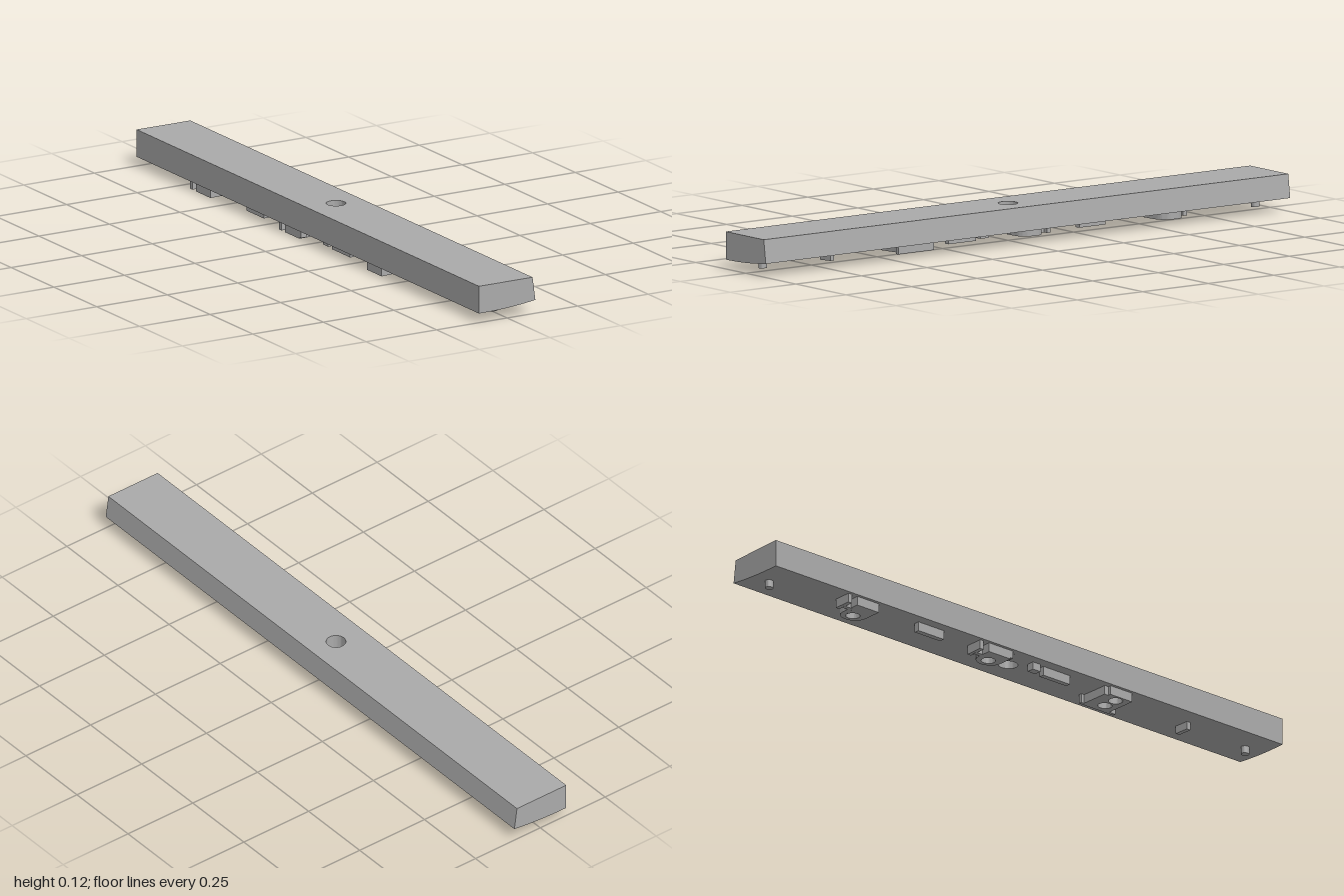
import * as THREE from 'three';
import { toCreasedNormals } from 'three/addons/utils/BufferGeometryUtils.js';

const TOP = 0.115, HOLE = 0.03, MID = 0.04, DROP = 0.029;
// gently bowed, tilted underside
const underside = (x) => 0.032 + 0.065 * x + 0.35 * x * x;
const bowXs = Array.from({ length: 11 }, (_, i) => -0.1 + i * 0.02);

export function createModel() {
  const group = new THREE.Group();
  const grey = new THREE.MeshStandardMaterial({ color: 0xaaaaaa });
  grey.name = 'grey';

  const add = (name, geometry) => {
    const mesh = new THREE.Mesh(toCreasedNormals(geometry, 0.5), grey);
    mesh.name = name;
    group.add(mesh);
  };

  // extrude a plan shape (x, z) downwards, then set its heights by a rule
  const extrudePlan = (shape, move) => {
    const g = new THREE.ExtrudeGeometry(shape, { depth: 1, bevelEnabled: false, curveSegments: 20 });
    g.rotateX(Math.PI / 2);
    const p = g.attributes.position;
    for (let i = 0; i < p.count; i++) {
      const [x, y] = move(p.getX(i), p.getY(i) > -0.5);
      p.setXY(i, x, y);
    }
    g.computeVertexNormals();
    return g;
  };

  const circleHole = (shape, x, z, r) => {
    shape.holes.push(new THREE.Path().absarc(x, z, r, 0, Math.PI * 2, true));
  };

  // the two long ends of the bar
  const profile = new THREE.Shape([
    ...bowXs.map((x) => new THREE.Vector2(x, underside(x))),
    new THREE.Vector2(0.09, TOP),
    new THREE.Vector2(-0.1, TOP),
  ]);
  for (const z of [-1, MID]) {
    const g = new THREE.ExtrudeGeometry(profile, { depth: 1 - MID, bevelEnabled: false });
    add(z < 0 ? 'backBar' : 'frontBar', g.translate(0, 0, z));
  }

  // middle of the bar with the through hole
  const middle = new THREE.Shape([
    ...bowXs.map((x) => new THREE.Vector2(x, -MID)),
    ...[...bowXs].reverse().map((x) => new THREE.Vector2(x, MID)),
  ]);
  circleHole(middle, 0, 0, HOLE);
  add('middleBarWithHole', extrudePlan(middle, (x, top) =>
    top ? [x > 0.0999 ? 0.09 : x, TOP] : [x, underside(x)]));

  // parts hanging from the underside
  const addRaised = (name, shape, drop = DROP) => add(name, extrudePlan(shape, (x, top) =>
    [x, underside(x) + (top ? 0.004 : -drop)]));

  const rect = (x0, x1, z0, z1) => new THREE.Shape(
    [[x0, z0], [x1, z0], [x1, z1], [x0, z1]].map(([x, z]) => new THREE.Vector2(x, z)));

  // end pins
  for (const [x, z] of [[-0.007, 0.93], [0.004, -0.94]]) {
    addRaised('pin', new THREE.Shape().absarc(x, z, 0.013, 0, Math.PI * 2), 0.023);
  }

  // narrow ribs, short studs and a crosswise rib
  addRaised('frontRib', rect(-0.065, -0.048, 0.085, 0.19));
  addRaised('backRib', rect(-0.068, -0.05, -0.41, -0.31));
  addRaised('crossRib', rect(-0.04, 0.013, 0.673, 0.687), 0.025);
  addRaised('stud', rect(-0.07, -0.045, 0.04, 0.07), 0.024);
  addRaised('smallStud', rect(-0.09, -0.072, -0.075, -0.055), 0.024);

  // front bracket: long edge bar, crossbar and a two-hole plate
  addRaised('bracketEdge', rect(0.018, 0.03, 0.305, 0.44));
  addRaised('bracketCrossbar', rect(-0.08, 0.018, 0.315, 0.33));
  const plate = rect(-0.09, 0.018, 0.33, 0.415);
  circleHole(plate, -0.012, 0.373, 0.022);
  circleHole(plate, -0.062, 0.373, 0.022);
  addRaised('bracketPlate', plate);

  // rounded brackets: a slotted lobe beside a straight foot
  for (const [name, z, x] of [['middleBracket', -0.065, 0], ['backBracket', -0.585, 0.018]]) {
    const lobe = new THREE.Shape();
    lobe.moveTo(-0.09, z);
    lobe.lineTo(-0.09, z - 0.085);
    lobe.lineTo(x - 0.04, z - 0.085);
    lobe.absarc(x - 0.0425, z - 0.0425, 0.0425, -Math.PI / 2, Math.PI / 2, false);
    lobe.closePath();
    circleHole(lobe, x - 0.036, z - 0.0425, 0.022);
    addRaised(name + 'Lobe', lobe);
    addRaised(name + 'Link', rect(-0.06, -0.045, z - 0.11, z - 0.08));
    addRaised(name + 'Foot', rect(-0.09, -0.03, z - 0.12, z - 0.106));
  }

  return group;
}
